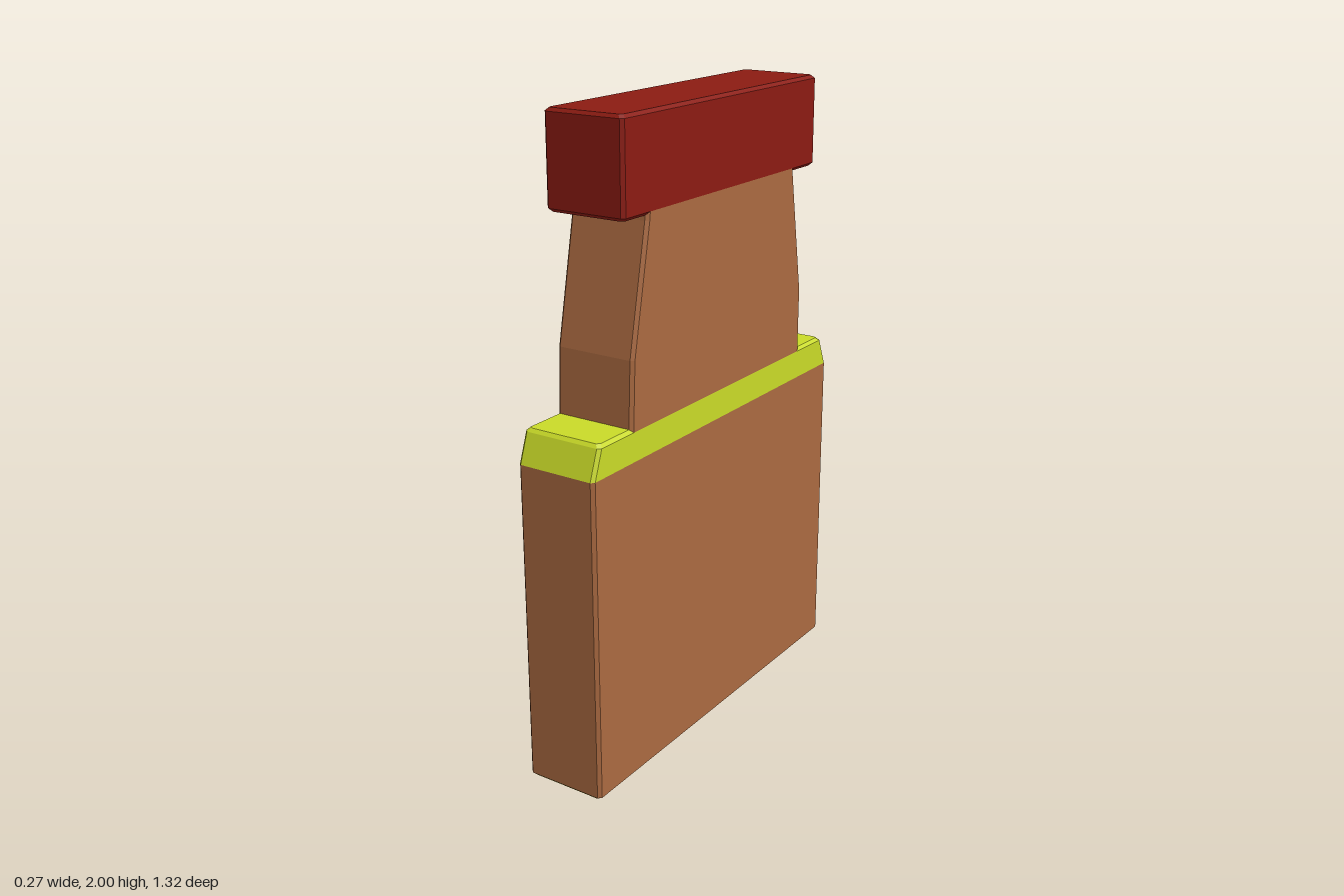
import * as THREE from 'three';

const RED = 0x8b1b12, BROWN = 0xa96940, YELLOW = 0xc8d928;
const HALF = 0.133, BEVEL = 0.01;

// Rectangle with clipped corners, counter-clockwise seen from above.
function ring([y, front, back, inset = 0]) {
  const w = HALF - inset, c = BEVEL, f = front - inset, b = back + inset;
  return [
    [w, f - c], [w, b + c], [w - c, b], [c - w, b],
    [-w, b + c], [-w, f - c], [c - w, f], [w - c, f],
  ].map(([x, z]) => new THREE.Vector3(x, y, z));
}

// Stacks levels [y, front z, back z, inset] into a faceted solid; ends close only where exposed.
function loft(name, color, levels, { top = false, bottom = false } = {}) {
  const rings = levels.map(ring), points = [], n = 8;
  for (let k = 0; k < rings.length - 1; k++) {
    const lo = rings[k], hi = rings[k + 1];
    for (let i = 0; i < n; i++) {
      const j = (i + 1) % n;
      points.push(lo[i], lo[j], hi[j], lo[i], hi[j], hi[i]);
    }
  }
  const first = rings[0], last = rings[rings.length - 1];
  for (let i = 1; i < n - 1; i++) {
    if (bottom) points.push(first[0], first[i + 1], first[i]);
    if (top) points.push(last[0], last[i], last[i + 1]);
  }
  const geometry = new THREE.BufferGeometry().setFromPoints(points);
  geometry.computeVertexNormals();
  const mesh = new THREE.Mesh(geometry, new THREE.MeshStandardMaterial({ color }));
  mesh.name = name;
  return mesh;
}

export function createModel() {
  const group = new THREE.Group();
  group.name = 'bottle';
  group.add(
    // bevelled underside
    loft('base', YELLOW, [
      [0, 0.658, -0.658, BEVEL],
      [0.01, 0.658, -0.658],
    ], { bottom: true }),
    // tall flat body
    loft('body', BROWN, [
      [0.01, 0.658, -0.658],
      [1.02, 0.658, -0.658],
    ]),
    // sloping shoulder band
    loft('shoulder', YELLOW, [
      [1.02, 0.658, -0.658],
      [1.11, 0.625, -0.62],
      [1.12, 0.625, -0.62, BEVEL],
    ], { top: true }),
    // neck, straight below and tapering above, set into the band and cap bevels
    loft('neck', BROWN, [
      [1.11, 0.475, -0.47],
      [1.32, 0.465, -0.472],
      [1.7, 0.388, -0.412],
      [1.725, 0.385, -0.41],
    ]),
    // overhanging cap
    loft('cap', RED, [
      [1.715, 0.498, -0.537, BEVEL],
      [1.725, 0.498, -0.537],
      [1.99, 0.498, -0.537],
      [2, 0.498, -0.537, BEVEL],
    ], { top: true, bottom: true }),
  );
  return group;
}
